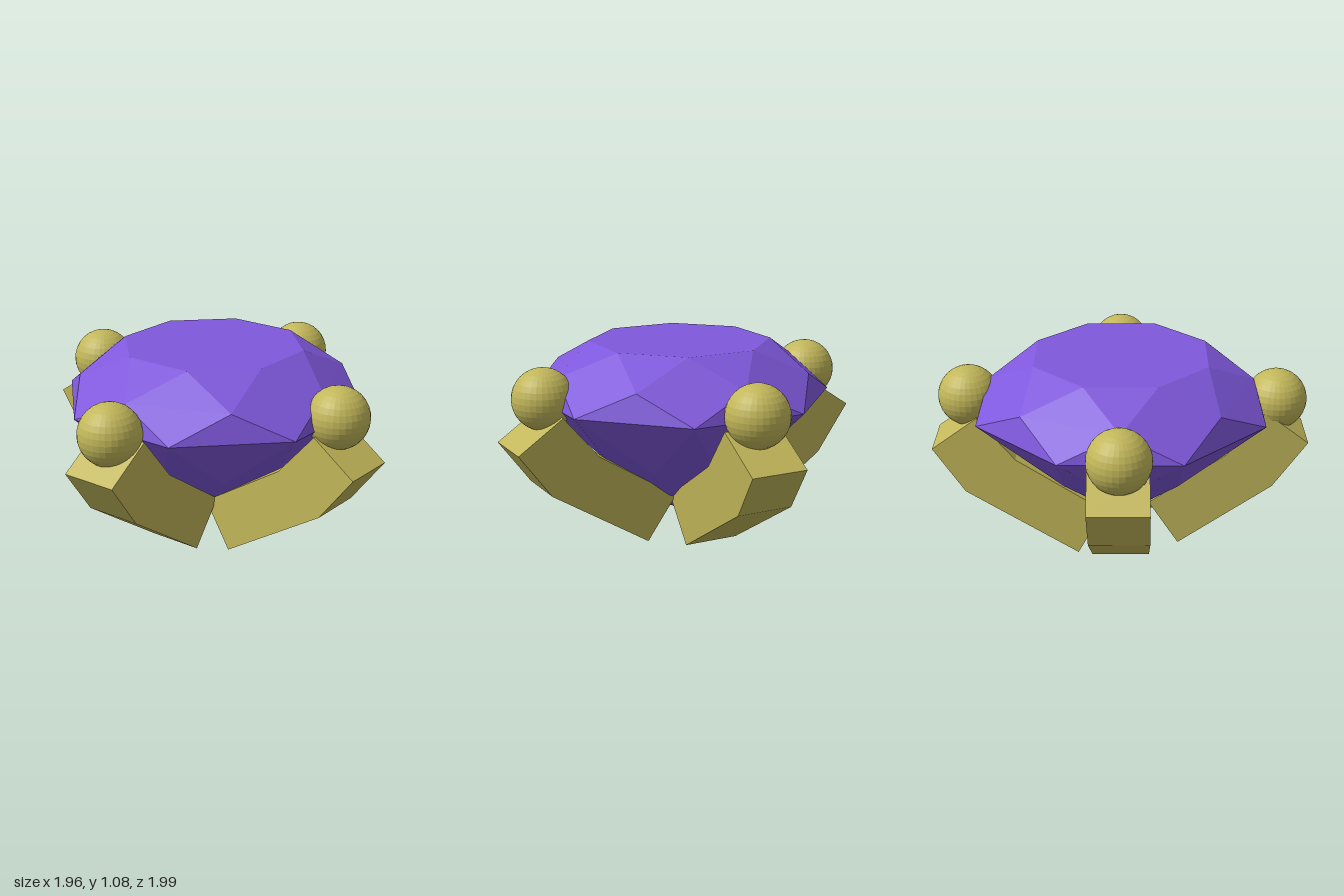
import * as THREE from 'three';
import { ConvexGeometry } from 'three/addons/geometries/ConvexGeometry.js';

const gemPurple = new THREE.MeshStandardMaterial({ color: 0x7f58dc, flatShading: true });
gemPurple.name = 'gem purple';
const gold = new THREE.MeshStandardMaterial({ color: 0xc2b75a, flatShading: true });
gold.name = 'gold';

// Eight points on a ring; offset 0.5 turns it by half a facet
function ring(radius, y, offset) {
  return Array.from({ length: 8 }, (_, i) => {
    const a = ((i + offset) * Math.PI) / 4;
    return new THREE.Vector3(Math.cos(a) * radius, y, Math.sin(a) * radius);
  });
}

// Cut gem: flat table, kite-faceted crown, girdle, pavilion and culet
function makeGem() {
  const points = [
    ...ring(0.485, 1.08, 0.5),
    ...ring(0.7, 0.94, 0),
    ...ring(0.805, 0.8, 0.5),
    ...ring(0.42, 0.45, 0),
    new THREE.Vector3(0, 0.12, 0),
  ];
  const gem = new THREE.Mesh(new ConvexGeometry(points), gemPurple);
  gem.name = 'gem';
  return gem;
}

// Bent claw in (radius, y) profile; it leans sideways from low (foot) to high (tip)
function makeProng({ name, turn, profile, low, high, ball }) {
  const group = new THREE.Group();
  group.name = name;
  const width = 0.305;
  const shape = new THREE.Shape(profile.map(([r, y]) => new THREE.Vector2(r, y)));
  const geo = new THREE.ExtrudeGeometry(shape, { depth: width, bevelEnabled: false });
  const p = geo.attributes.position;
  for (let i = 0; i < p.count; i++) {
    p.setZ(i, p.getZ(i) - width / 2 + low + (high - low) * (p.getY(i) / 0.8));
  }
  geo.computeVertexNormals();
  const claw = new THREE.Mesh(geo, gold);
  claw.name = 'claw';
  // Round bead at the tip
  const bead = new THREE.Mesh(new THREE.SphereGeometry(0.162, 32, 16), gold);
  bead.name = 'bead';
  bead.position.set(...ball);
  group.add(claw, bead);
  group.rotation.y = turn;
  return group;
}

const prongs = [
  {
    name: 'leftProng', turn: 0, low: 0.037, high: -0.01, ball: [0.785, 0.842, -0.005],
    profile: [[0.98, 0.6], [0.8, 0.36], [0.25, 0.02], [0.09, 0.26], [0.54, 0.54], [0.74, 0.77]],
  },
  {
    name: 'rightProng', turn: Math.PI, low: 0, high: 0.01, ball: [0.79, 0.845, 0.005],
    profile: [[0.98, 0.65], [0.8, 0.39], [0.27, 0.02], [0.11, 0.25], [0.55, 0.56], [0.75, 0.8]],
  },
  {
    name: 'frontProng', turn: -Math.PI / 2, low: 0.022, high: -0.02, ball: [0.825, 0.822, -0.01],
    profile: [[0.99, 0.63], [0.81, 0.38], [0.31, 0.04], [0.15, 0.28], [0.56, 0.56], [0.76, 0.8]],
  },
  {
    name: 'backProng', turn: Math.PI / 2, low: -0.072, high: 0.005, ball: [0.81, 0.842, 0],
    profile: [[1.0, 0.6], [0.83, 0.36], [0.23, 0.005], [0.09, 0.25], [0.56, 0.54], [0.76, 0.77]],
  },
];

export function createModel() {
  const model = new THREE.Group();
  model.name = 'prongSetGem';
  model.add(makeGem());
  // Profiles run clockwise; Shape extrusion reorients them as needed
  for (const prong of prongs) model.add(makeProng(prong));
  return model;
}
